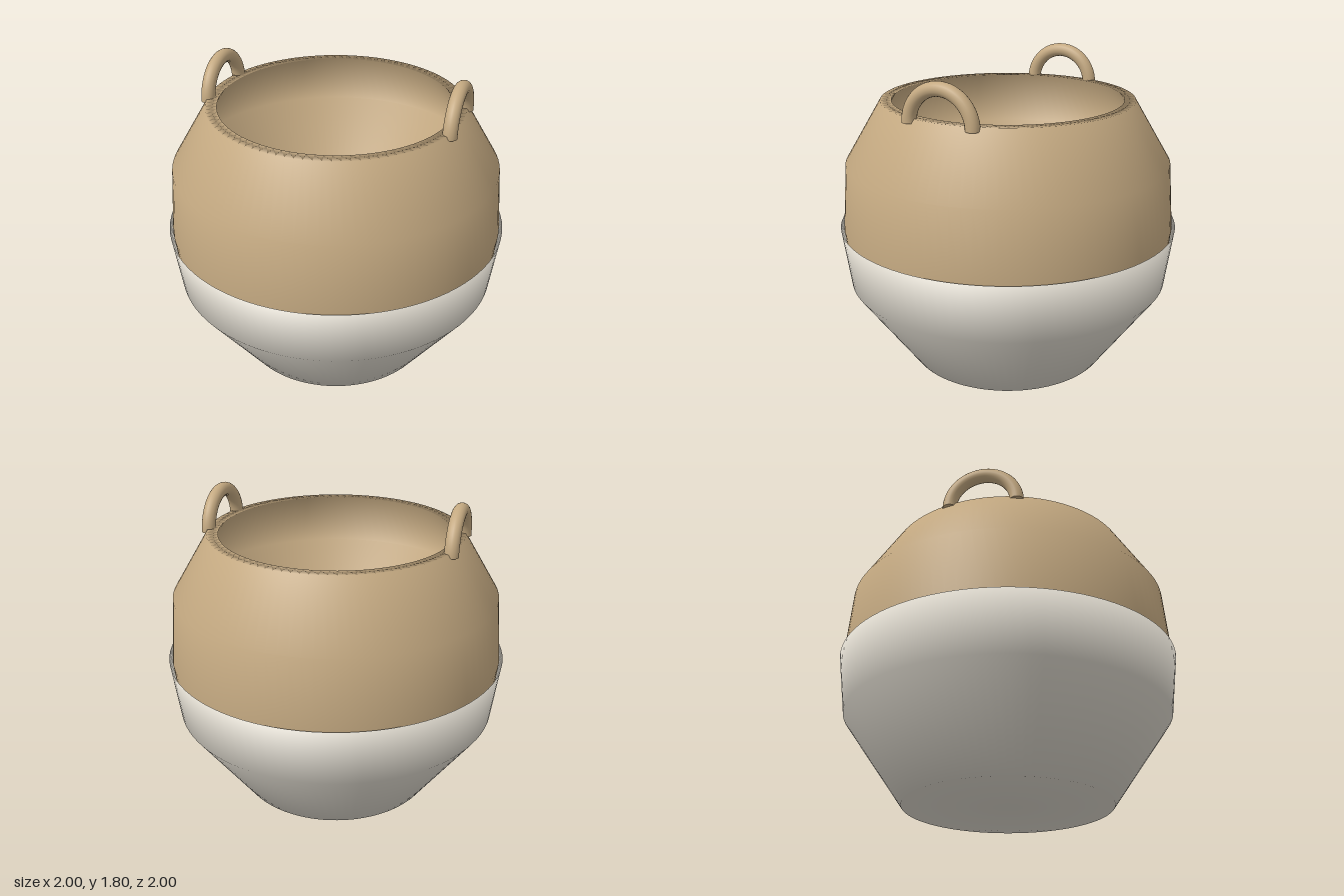
import * as THREE from 'three';

const SEGMENTS = 96;

// Revolve a list of [radius, height] pairs; outside runs upwards, inside downwards
function lathe(profile) {
  return new THREE.LatheGeometry(profile.map(([r, y]) => new THREE.Vector2(r, y)), SEGMENTS);
}

export function createModel() {
  const model = new THREE.Group();
  model.name = 'basket';

  const straw = new THREE.MeshStandardMaterial({ color: 0xc4a981 });
  straw.name = 'straw';
  const cream = new THREE.MeshStandardMaterial({ color: 0xd9d4c9 });
  cream.name = 'cream';

  function add(name, geometry, material, parent = model) {
    const mesh = new THREE.Mesh(geometry, material);
    mesh.name = name;
    parent.add(mesh);
    return mesh;
  }

  // Cream lower cover: closed base, thin sharp lip, hidden inner wall
  add('lowerCover', lathe([
    [0, 0], [0.6, 0], [0.955, 0.505], [1, 0.85],
    [0.925, 0.535], [0.57, 0.02], [0, 0.02],
  ]), cream);

  // Straw body: outer wall, flat rim, flared inner lip and funnel-shaped inside
  add('basketBody', lathe([
    [0.965, 0.7], [0.98, 0.85], [0.948, 1.235], [0.735, 1.59],
    [0.67, 1.59], [0.87, 1.24], [0.025, 0.3],
  ]), straw);

  // Two upright half-ring handles on the rim
  const ring = 0.195, tube = 0.04;
  for (const [name, side] of [['leftHandle', 1], ['rightHandle', -1]]) {
    const handle = new THREE.Group();
    handle.name = name;
    handle.position.set(side * 0.706, 1.567, 0);
    handle.rotation.y = Math.PI / 2;
    add('handleLoop', new THREE.TorusGeometry(ring, tube, 20, 40, Math.PI), straw, handle);
    for (const end of [-1, 1]) {
      const cap = add('handleEnd', new THREE.CircleGeometry(tube, 20), straw, handle);
      cap.rotation.x = Math.PI / 2;
      cap.position.x = end * ring;
    }
    model.add(handle);
  }

  return model;
}
